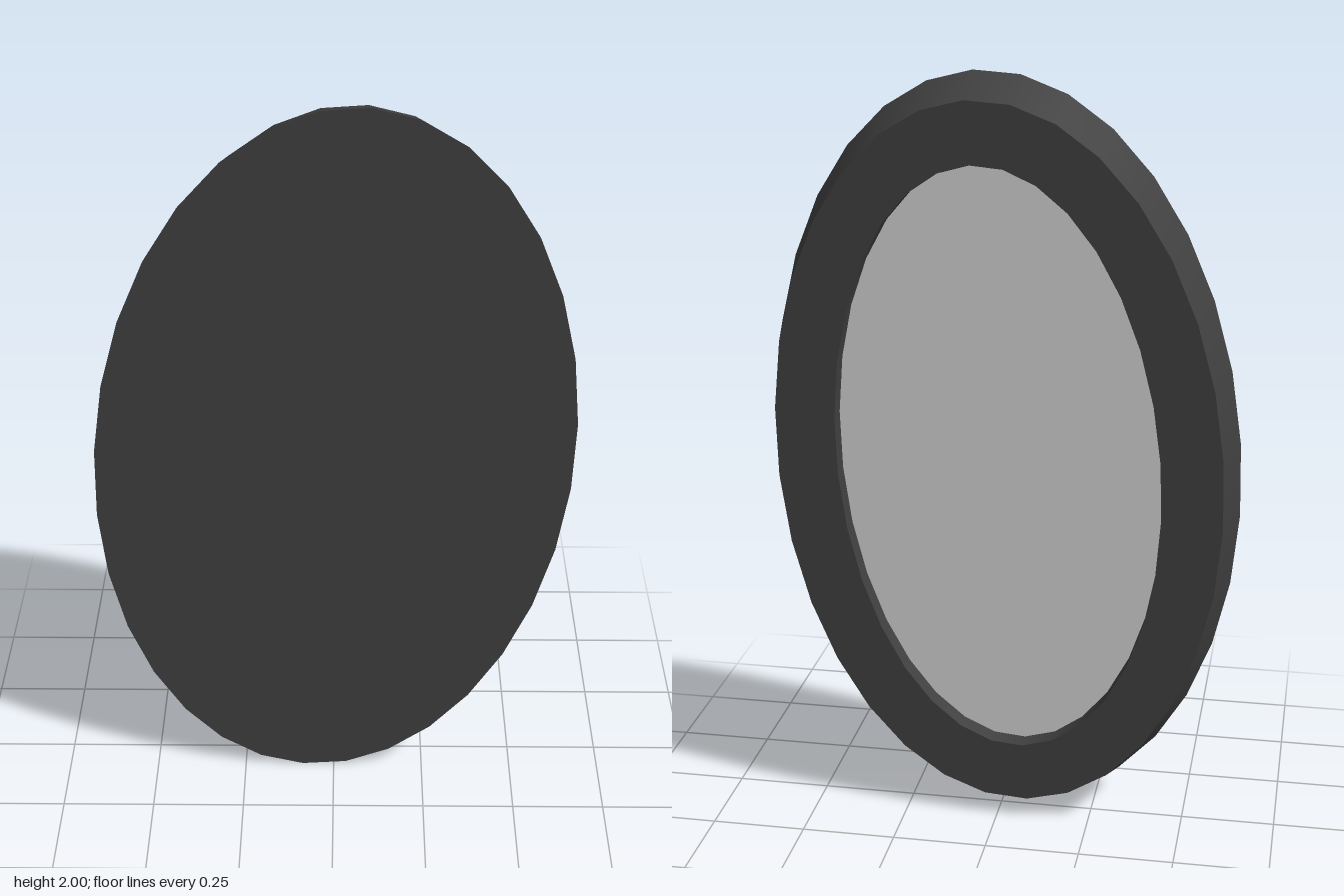
import * as THREE from 'three';

const SIDES = 32;
const FRONT = 0.075, BACK = -0.075, GLASS = -0.02;   // z of the flat faces
const OUTER = [0.619, 1.0035];                       // half width, half height
const REAR = OUTER.map((r) => r * 0.945);
const OPENING = REAR.map((r) => r - 0.16);

// Smooth oval wall; profile points are (radius factor, z).
// Rising z faces outward, falling z faces inward.
function wall([w, h], profile) {
  const points = profile.map(([r, z]) => new THREE.Vector2(r, z));
  return new THREE.LatheGeometry(points, SIDES).rotateX(Math.PI / 2).scale(w, h, 1);
}

function ovalPoints([w, h]) {
  return Array.from({ length: SIDES }, (_, i) => {
    const t = (i / SIDES) * Math.PI * 2;
    return new THREE.Vector2(w * Math.cos(t), h * Math.sin(t));
  });
}

// Flat oval plate, facing the front
function plate(size, hole) {
  const shape = new THREE.Shape(ovalPoints(size));
  if (hole) shape.holes.push(new THREE.Path(ovalPoints(hole)));
  return new THREE.ShapeGeometry(shape);
}

export function createModel() {
  const frame = new THREE.MeshStandardMaterial({ color: 0x404040 });
  frame.name = 'darkFrame';
  const glass = new THREE.MeshStandardMaterial({ color: 0xd4d4d4 });
  glass.name = 'paleGlass';

  const housing = new THREE.Group();
  housing.name = 'ovalMirror';
  const add = (name, geometry, material, z = 0) => {
    const mesh = new THREE.Mesh(geometry, material);
    mesh.name = name;
    mesh.position.z = z;
    housing.add(mesh);
  };

  // Closed front and tapering rim
  add('frontCover', plate(OUTER), frame, FRONT);
  add('outerRim', wall(OUTER, [[0.945, BACK], [1, FRONT]]), frame);

  // Rear border, recess and glass
  add('rearBorder', plate(REAR, OPENING).rotateY(Math.PI), frame, BACK);
  add('recessWall', wall(OPENING, [[1, GLASS], [1, BACK]]), frame);
  add('mirrorGlass', plate(OPENING).rotateY(Math.PI), glass, GLASS);

  // The oval leans slightly to its left
  housing.rotation.z = THREE.MathUtils.degToRad(-5);
  housing.position.y = 1;

  const model = new THREE.Group();
  model.name = 'mirror';
  model.add(housing);
  return model;
}
